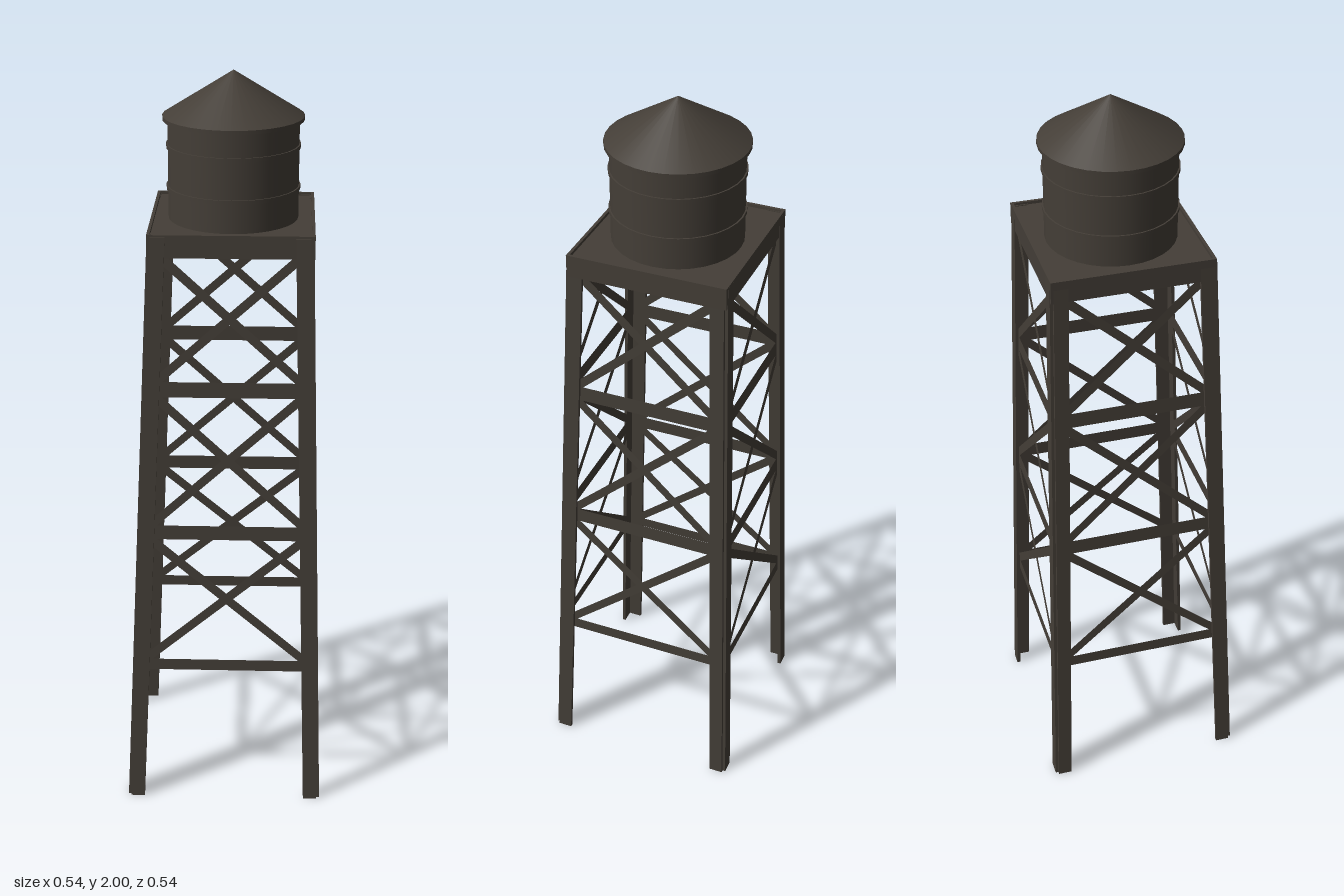
import * as THREE from 'three';

const TOP = 1.625;
const lerp = THREE.MathUtils.lerp;

// Outer corner line of each leg; the tower tapers and leans slightly
const cornerX = (s, y) => lerp(0.27 * s, s > 0 ? 0.226 : -0.196, y / TOP);
const cornerZ = (s, y) => lerp(0.27 * s, s > 0 ? 0.198 : -0.231, y / TOP);
const CX = 0.016, CZ = -0.018;

export function createModel() {
  const group = new THREE.Group();
  const steel = new THREE.MeshStandardMaterial({ color: 0x443e37, side: THREE.DoubleSide });
  steel.name = 'weathered steel';

  const add = (name, geometry, x = 0, y = 0, z = 0) => {
    const mesh = new THREE.Mesh(geometry, steel);
    mesh.name = name;
    mesh.position.set(x, y, z);
    group.add(mesh);
    return mesh;
  };

  // Legs: angle-iron section with a notched corner, sheared along the taper
  const section = [[0.008, 0], [0.046, 0], [0.046, 0.009], [0.009, 0.009],
    [0.009, 0.046], [0, 0.046], [0, 0.008], [0.008, 0.008]];
  for (const sx of [-1, 1]) for (const sz of [-1, 1]) {
    const shape = new THREE.Shape(section.map(([a, b]) => new THREE.Vector2(-sx * a, sz * b)));
    const geo = new THREE.ExtrudeGeometry(shape, { depth: TOP - 0.005, bevelEnabled: false });
    geo.rotateX(-Math.PI / 2);
    const p = geo.attributes.position;
    for (let i = 0; i < p.count; i++) {
      const y = p.getY(i);
      p.setXYZ(i, p.getX(i) + cornerX(sx, y), y, p.getZ(i) + cornerZ(sz, y));
    }
    geo.computeVertexNormals();
    add('leg', geo);
  }

  // Point on one tower face: side -1/1 picks the leg, inset moves in from it
  const facePoint = (face, side, y, inset) => {
    const depth = 0.0095;
    return face.axis === 'z'
      ? [cornerX(side, y) - side * inset, y, cornerZ(face.sign, y) - face.sign * depth]
      : [cornerX(face.sign, y) - face.sign * depth, y, cornerZ(side, y) - side * inset];
  };
  const plate = (name, a, b, c, d) => {
    const geo = new THREE.BufferGeometry();
    geo.setAttribute('position', new THREE.Float32BufferAttribute([...a, ...b, ...c, ...d], 3));
    geo.setIndex([0, 1, 2, 0, 2, 3]);
    geo.computeVertexNormals();
    add(name, geo);
  };

  // Flat girts and crossed braces on all four faces
  const girts = [[0.398, 0.43], [0.79, 0.83], [1.193, 1.235], [1.567, 1.6]];
  for (const axis of ['x', 'z']) for (const sign of [-1, 1]) {
    const face = { axis, sign };
    girts.forEach(([low, high], i) => {
      plate('girt', facePoint(face, -1, low, 0.0095), facePoint(face, 1, low, 0.0095),
        facePoint(face, 1, high, 0.0095), facePoint(face, -1, high, 0.0095));
      if (i === 3) return;
      const next = girts[i + 1][0], h = 0.016;
      for (const side of [-1, 1]) {
        plate('crossBrace', facePoint(face, side, high - h, 0.036), facePoint(face, -side, next - h, 0.036),
          facePoint(face, -side, next + h, 0.036), facePoint(face, side, high + h, 0.036));
      }
    });
  }

  // Platform: deck inside a shallow rim
  const size = 0.426;
  add('platformDeck', new THREE.BoxGeometry(size - 0.01, 0.012, size - 0.01), CX, 1.612, CZ);
  for (const s of [-1, 1]) {
    add('platformRim', new THREE.BoxGeometry(size, 0.06, 0.008), CX, 1.596, CZ + s * (size / 2 - 0.004));
    add('platformRim', new THREE.BoxGeometry(0.008, 0.06, size), CX + s * (size / 2 - 0.004), 1.596, CZ);
  }

  // Tank with two hoops and a conical roof
  add('tank', new THREE.CylinderGeometry(0.17, 0.17, 0.27, 32), CX, 1.747, CZ);
  for (const y of [1.7, 1.808]) {
    add('tankHoop', new THREE.CylinderGeometry(0.174, 0.174, 0.01, 32, 1), CX, y, CZ);
  }
  add('roofLip', new THREE.CylinderGeometry(0.183, 0.183, 0.01, 32), CX, 1.88, CZ);
  add('roof', new THREE.ConeGeometry(0.183, 0.115, 32, 1, true), CX, 1.9425, CZ);

  return group;
}
